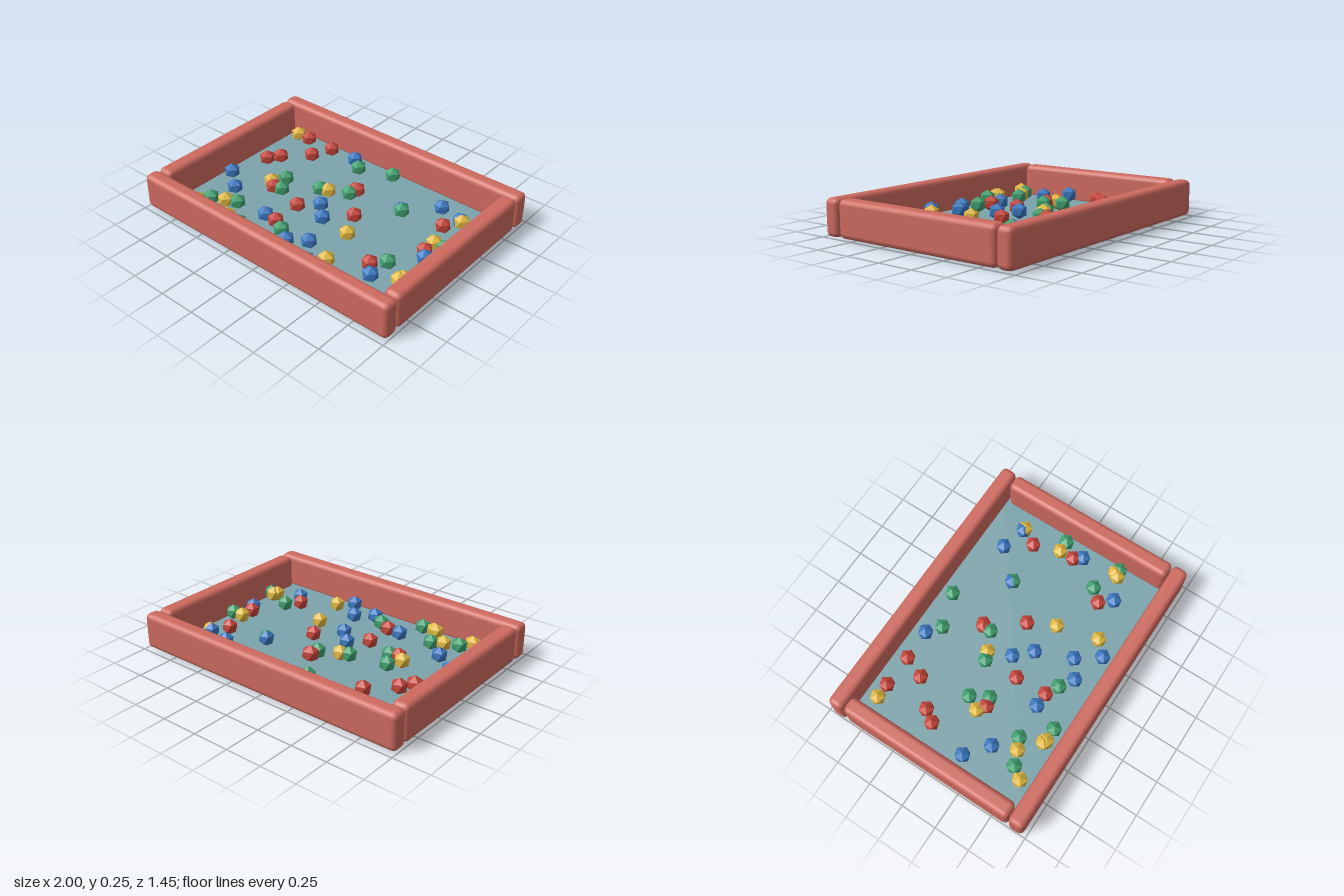
import * as THREE from 'three';
import { RoundedBoxGeometry } from 'three/addons/geometries/RoundedBoxGeometry.js';

const BALL_RADIUS = 0.056;
const FLOOR_TOP = 0.027;

// Ball positions on the floor as [x, z], grouped by colour
const BALLS = {
  red: { color: 0xc5453a, at: [
    [-0.675, -0.52], [-0.455, -0.515], [-0.515, -0.37], [-0.67, -0.215], [-0.725, -0.135],
    [0.01, -0.235], [0, -0.23], [0.175, 0], [-0.445, 0.095], [-0.18, 0.15],
    [-0.17, 0.365], [0.555, 0.315], [0.675, -0.275], [0.735, 0.005]] },
  yellow: { color: 0xe0b840, at: [
    [-0.775, -0.52], [-0.5, 0.055], [-0.135, -0.105], [0.265, 0.175], [0.735, -0.095],
    [0.745, -0.385], [0.335, 0.455], [-0.575, 0.415], [-0.725, 0.53], [-0.445, 0.525],
    [-0.425, 0.535], [0.8, 0.3], [0.785, 0.325]] },
  green: { color: 0x3f9f6e, at: [
    [0.08, -0.53], [-0.155, -0.45], [-0.005, -0.17], [-0.19, -0.085], [-0.45, -0.035],
    [-0.385, 0.08], [0.375, -0.24], [0.815, -0.095], [0.63, 0.235], [-0.5, 0.38],
    [-0.67, 0.455], [-0.335, 0.535], [-0.08, 0.41], [0.83, 0.315]] },
  blue: { color: 0x3a78c0, at: [
    [-0.245, -0.52], [0.555, -0.435], [0.73, -0.39], [0.37, -0.245], [-0.79, 0.145],
    [-0.64, 0.265], [-0.07, 0.045], [0.035, 0.15], [0.775, 0.06], [-0.265, 0.36],
    [0.015, 0.47], [0.135, 0.39], [0.245, 0.54], [0.625, 0.395]] },
};

export function createModel() {
  const model = new THREE.Group();
  model.name = 'ballPit';

  const add = (parent, name, geometry, material, x, y, z) => {
    const mesh = new THREE.Mesh(geometry, material);
    mesh.name = name;
    mesh.position.set(x, y, z);
    parent.add(mesh);
  };

  // Thin floor, tucked under the padded walls
  const floorMaterial = new THREE.MeshStandardMaterial({ color: 0x7ba3ab });
  add(model, 'floor', new THREE.BoxGeometry(1.85, FLOOR_TOP, 1.36), floorMaterial, 0, FLOOR_TOP / 2, 0);

  // Padded walls with rounded edges
  const wallMaterial = new THREE.MeshStandardMaterial({ color: 0xcd6a5f });
  const longWall = new RoundedBoxGeometry(2, 0.245, 0.108, 2, 0.035);
  const sideWall = new RoundedBoxGeometry(0.115, 0.245, 1.224, 2, 0.035);
  for (const s of [1, -1]) {
    add(model, s > 0 ? 'frontWall' : 'backWall', longWall, wallMaterial, 0, 0.1275, s * 0.671);
    add(model, s > 0 ? 'leftWall' : 'rightWall', sideWall, wallMaterial, s * 0.938, 0.1275, 0);
  }

  // Faceted balls, turned so that one corner points straight up
  const ball = new THREE.IcosahedronGeometry(BALL_RADIUS, 0);
  ball.rotateZ(-Math.atan(2 / (1 + Math.sqrt(5))));
  for (const [name, { color, at }] of Object.entries(BALLS)) {
    const group = new THREE.Group();
    group.name = `${name}Balls`;
    const material = new THREE.MeshStandardMaterial({ color, flatShading: true });
    for (const [x, z] of at) add(group, `${name}Ball`, ball, material, x, FLOOR_TOP + BALL_RADIUS, z);
    model.add(group);
  }

  return model;
}
